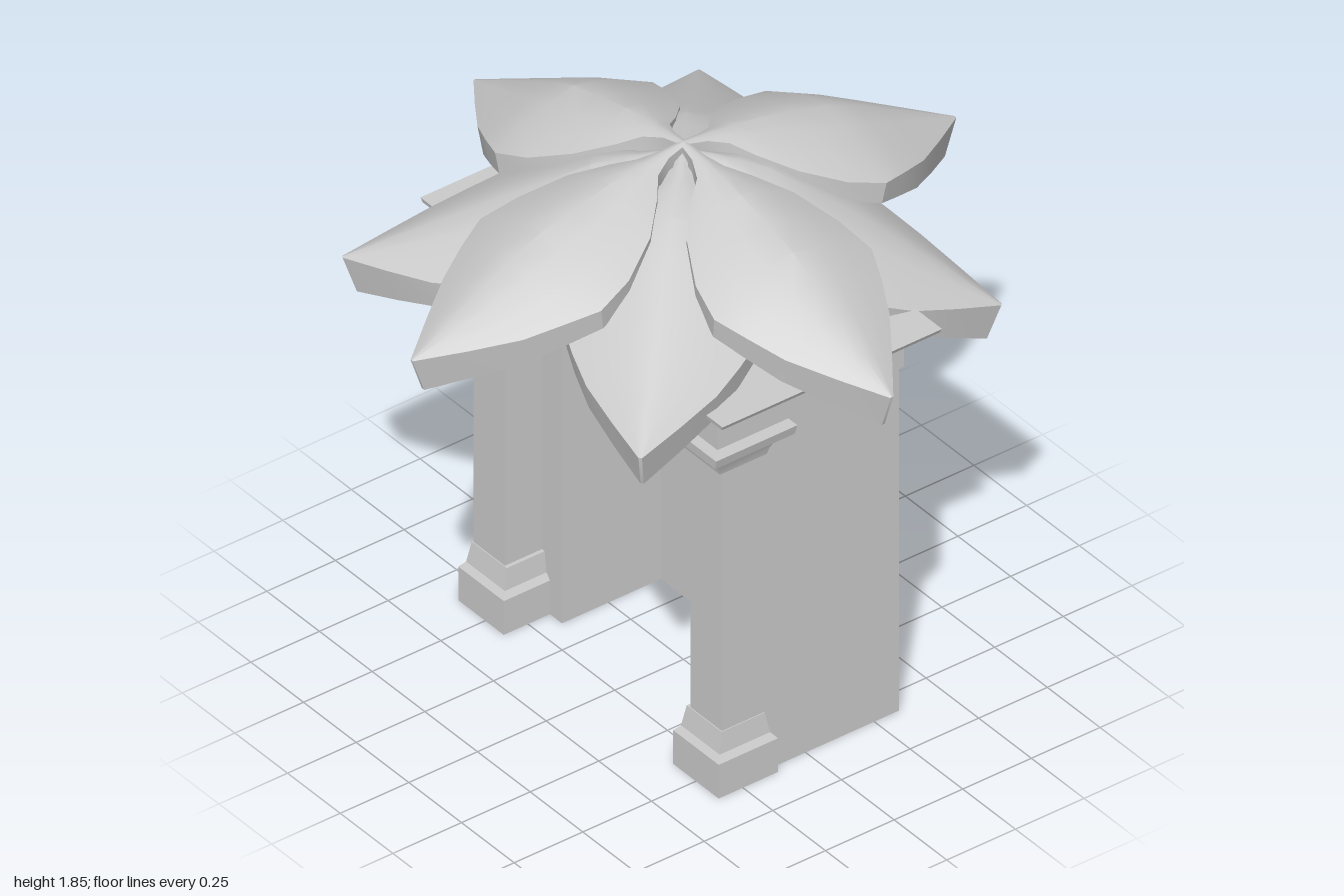
import * as THREE from 'three';
import { toCreasedNormals } from 'three/addons/utils/BufferGeometryUtils.js';

const material = new THREE.MeshStandardMaterial({ color: 0xcccccc, side: THREE.DoubleSide });

// Skin a list of closed rings (equal point counts) and cap both ends
function loft(rings, crease = 0.5) {
  const n = rings[0].length;
  const index = [];
  for (let i = 0; i < rings.length - 1; i++) {
    for (let j = 0; j < n; j++) {
      const a = i * n + j, b = i * n + (j + 1) % n;
      index.push(a, b, b + n, a, b + n, a + n);
    }
  }
  const last = (rings.length - 1) * n;
  for (let j = 1; j < n - 1; j++) {
    index.push(0, j + 1, j, last, last + j, last + j + 1);
  }
  const geometry = new THREE.BufferGeometry();
  geometry.setAttribute('position', new THREE.Float32BufferAttribute(rings.flat(2), 3));
  geometry.setIndex(index);
  return toCreasedNormals(geometry, crease);
}

// Rectangular moulding from [y, halfX, halfZ] levels
function moulding(levels) {
  return loft(levels.map(([y, x, z]) => [[-x, y, z], [x, y, z], [x, y, -z], [-x, y, -z]]), 0.2);
}

function add(parent, geometry, name) {
  const mesh = new THREE.Mesh(geometry, material);
  mesh.name = name;
  parent.add(mesh);
  return mesh;
}

// Outline and thickness of every petal: [reach, half width, thickness]
const OUTLINE = [
  [0, 0.012, 0.04], [0.07, 0.022, 0.045], [0.13, 0.05, 0.05], [0.18, 0.11, 0.055],
  [0.27, 0.195, 0.06], [0.4, 0.262, 0.065], [0.52, 0.287, 0.07], [0.62, 0.245, 0.08],
  [0.73, 0.19, 0.09], [0.86, 0.1, 0.105], [0.99, 0.005, 0.12],
];

// Thick arched petal along +x; ridge is its midrib as [x, y] points
function petalGeometry(ridge, reach) {
  const ridgeAt = (r) => {
    let k = 0;
    while (k < ridge.length - 2 && r > ridge[k + 1][0]) k++;
    const [x0, y0] = ridge[k], [x1, y1] = ridge[k + 1];
    return y0 + (y1 - y0) * (r - x0) / (x1 - x0);
  };
  const across = [-1, -0.67, -0.33, 0, 0.33, 0.67, 1];
  const rings = OUTLINE.map(([r, w, t]) => {
    const x = r * reach / 0.99;
    const top = across.map((u) => [
      x, ridgeAt(r) - 0.115 * (w / 0.287) * Math.pow(Math.abs(u), 1.4), u * w,
    ]);
    const under = top.map(([px, py, pz]) => [px - 0.35 * t * r, py - t, pz * 0.98]).reverse();
    return [...top, ...under];
  });
  return loft(rings);
}

export function createModel() {
  const model = new THREE.Group();
  model.name = 'petalRoofedAlcove';
  const cz = -0.01;

  // U-shaped walls with a slimmer pier at each open corner
  const half = [[0.34, 0.59], [-0.305, 0.59], [-0.305, 0.44], [-0.17, 0.44], [-0.17, 0.345], [0.19, 0.345]];
  const plan = [...half, ...half.map(([x, z]) => [x, -z]).reverse()];
  const walls = new THREE.ExtrudeGeometry(
    new THREE.Shape(plan.map(([x, z]) => new THREE.Vector2(x, z))),
    { depth: 1.24, bevelEnabled: false },
  );
  walls.rotateX(-Math.PI / 2);
  add(model, walls, 'walls').position.z = cz;

  // Frieze and flaring cornice
  add(model, moulding([[1.24, 0.34, 0.615], [1.33, 0.34, 0.615]]), 'frieze').position.z = cz;
  add(model, moulding([
    [1.33, 0.34, 0.62], [1.338, 0.352, 0.635], [1.352, 0.362, 0.65], [1.37, 0.372, 0.668],
    [1.384, 0.38, 0.69], [1.39, 0.397, 0.71], [1.405, 0.4, 0.717],
  ]), 'cornice').position.z = cz;

  // Pier bases and capitals
  for (const side of [1, -1]) {
    const pier = new THREE.Group();
    pier.name = side > 0 ? 'frontPier' : 'backPier';
    pier.position.set(-0.23, 0, cz + side * 0.51);
    add(pier, moulding([
      [0, 0.108, 0.108], [0.12, 0.108, 0.108], [0.13, 0.1, 0.1],
      [0.14, 0.092, 0.092], [0.21, 0.078, 0.083],
    ]), 'base');
    add(pier, moulding([
      [1.13, 0.085, 0.085], [1.15, 0.09, 0.09], [1.175, 0.1, 0.1], [1.195, 0.115, 0.115],
      [1.2, 0.127, 0.127], [1.207, 0.145, 0.14], [1.24, 0.148, 0.148],
    ]), 'capital');
    model.add(pier);
  }

  // Flower roof: four upper petals on the axes
  const roof = new THREE.Group();
  roof.name = 'petalRoof';
  const upper = petalGeometry([[0, 1.845], [0.25, 1.815], [0.55, 1.74], [0.99, 1.5]], 0.99);
  for (let i = 0; i < 4; i++) {
    add(roof, upper, 'upperPetal').rotation.y = i * Math.PI / 2;
  }

  // Four drooping petals between them: [angle, reach, tip height]
  for (const [angle, reach, tip] of [
    [49.8, 0.96, 1.41], [142, 0.985, 1.43], [225, 0.955, 1.4], [319.6, 0.92, 1.3],
  ]) {
    const ridge = [[0, 1.82], [0.25, 1.77], [0.55, 1.55 + 0.25 * (tip - 1.1)], [0.99, tip]];
    add(roof, petalGeometry(ridge, reach), 'lowerPetal').rotation.y = THREE.MathUtils.degToRad(angle);
  }
  model.add(roof);
  return model;
}
